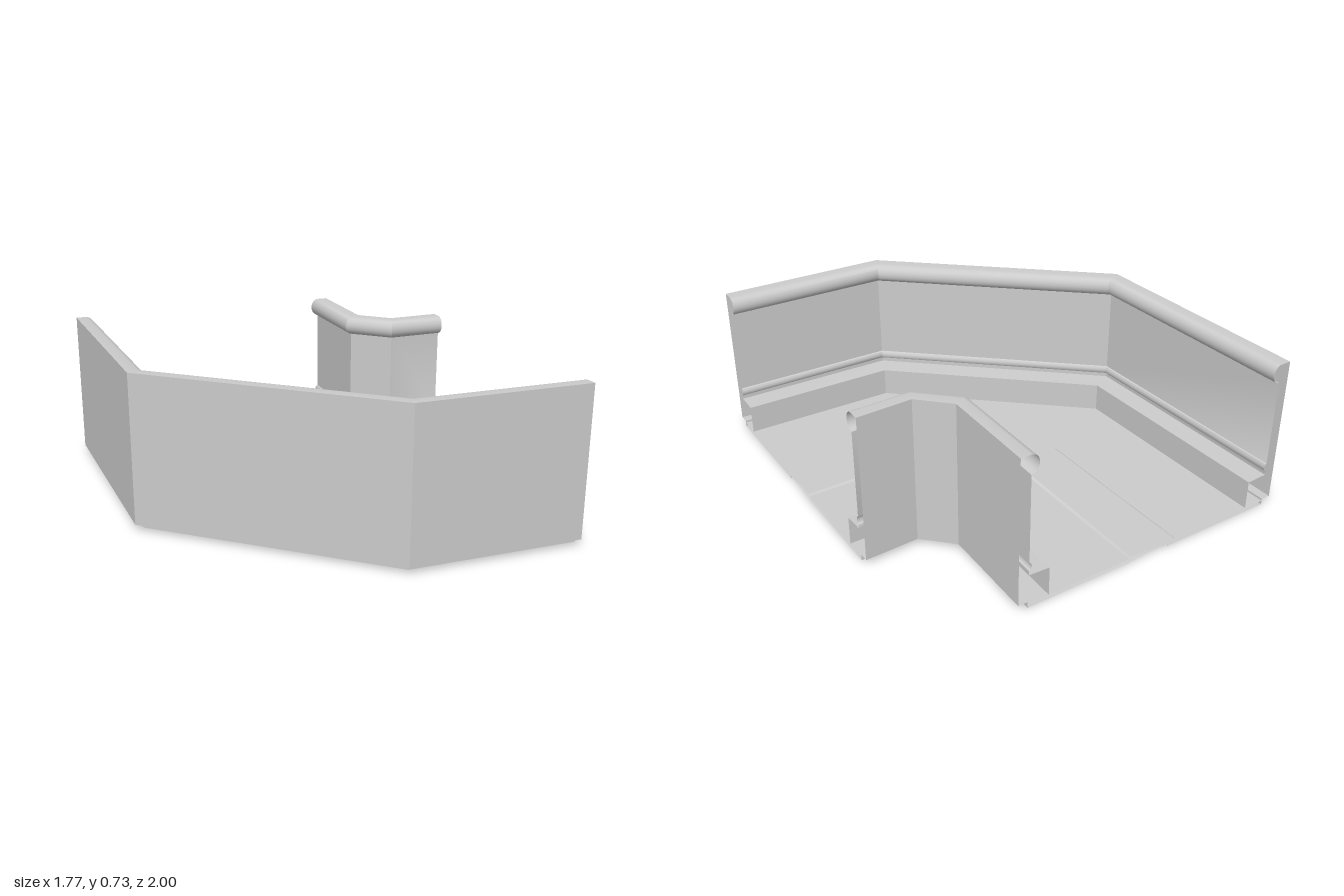
import * as THREE from 'three';
import { toCreasedNormals } from 'three/addons/utils/BufferGeometryUtils.js';

// Plan of the bend: matching corners [x, z] on the outer and inner side
const OUTER = [[-0.89, -1], [-0.87, 0.15], [0.07, 0.98], [0.885, 0.995]];
const INNER = [[0.51, -1], [0.5, -0.53], [0.63, -0.4], [0.885, -0.41]];
const WIDTH = 1.4;

// Half-round bulge between two heights, travelling downwards
function bulge(d, yTop, yBottom, depth, steps) {
  const points = [];
  for (let i = 0; i <= steps; i++) {
    const a = (i / steps) * Math.PI;
    points.push([
      d + depth * Math.sin(a),
      (yTop + yBottom) / 2 + ((yTop - yBottom) / 2) * Math.cos(a),
    ]);
  }
  return points;
}

// Sweeps a profile of [distance from side, height] around the bend with mitred corners
function sweep(profile, mirrored = false) {
  const point = (s, [d, y]) => {
    const t = mirrored ? 1 - d / WIDTH : d / WIDTH;
    return [
      THREE.MathUtils.lerp(OUTER[s][0], INNER[s][0], t),
      y,
      THREE.MathUtils.lerp(OUTER[s][1], INNER[s][1], t),
    ];
  };
  const positions = [];
  for (let s = 0; s < OUTER.length - 1; s++) {
    for (let p = 0; p < profile.length - 1; p++) {
      const a = point(s, profile[p]);
      const b = point(s + 1, profile[p]);
      const c = point(s + 1, profile[p + 1]);
      const d = point(s, profile[p + 1]);
      const corners = mirrored ? [a, c, b, a, d, c] : [a, b, c, a, c, d];
      positions.push(...corners.flat());
    }
  }
  const geometry = new THREE.BufferGeometry();
  geometry.setAttribute('position', new THREE.Float32BufferAttribute(positions, 3));
  return toCreasedNormals(geometry, 0.6);
}

export function createModel() {
  const group = new THREE.Group();
  const material = new THREE.MeshStandardMaterial({ color: 0xcccccc, side: THREE.DoubleSide });
  const add = (name, geometry) => {
    const mesh = new THREE.Mesh(geometry, material);
    mesh.name = name;
    group.add(mesh);
  };

  // Hollow side wall: outer skin, rolled rim, small rib and bottom ledge
  const wall = [
    [0.045, 0], [0.045, 0.03], [0, 0.03], [0, 0.73],
    ...bulge(0.05, 0.73, 0.64, 0.038, 10),
    ...bulge(0.05, 0.225, 0.185, 0.012, 6),
    [0.05, 0.165], [0.15, 0.16], [0.15, 0.02],
  ];
  add('outerWall', sweep(wall));
  add('innerWall', sweep(wall, true));

  // Floor with a shallow raised strip along the middle
  add('floorTop', sweep([
    [0.045, 0.02], [0.57, 0.02], [0.58, 0.028], [0.82, 0.028], [0.83, 0.02], [1.355, 0.02],
  ]));
  // Underside with a matching shallow groove
  add('floorUnderside', sweep([
    [1.355, 0], [0.83, 0], [0.82, 0.006], [0.77, 0.006], [0.76, 0.012],
    [0.62, 0.012], [0.61, 0], [0.045, 0],
  ]));
  return group;
}
